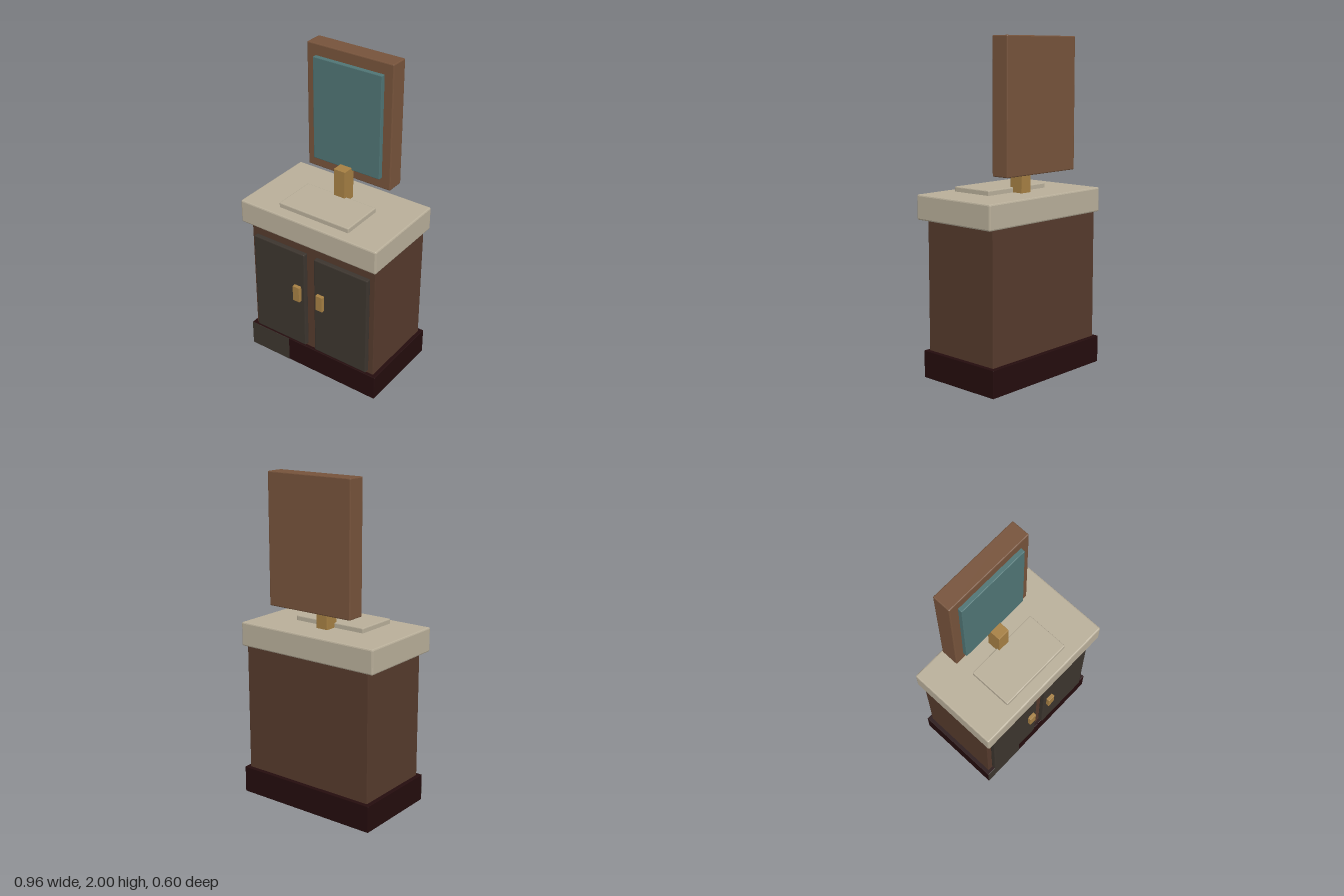
import * as THREE from 'three';
import { RoundedBoxGeometry } from 'three/addons/geometries/RoundedBoxGeometry.js';

const paint = (name, color) => {
  const m = new THREE.MeshStandardMaterial({ color });
  m.name = name;
  return m;
};

// Box given by its extents on each axis, with small flat bevels along the edges
function block(name, material, [x0, x1], [y0, y1], [z0, z1], bevel = 0.006) {
  const size = [x1 - x0, y1 - y0, z1 - z0];
  let geometry;
  if (bevel > 0) {
    geometry = new RoundedBoxGeometry(...size, 1, bevel).toNonIndexed();
    geometry.computeVertexNormals();
  } else {
    geometry = new THREE.BoxGeometry(...size);
  }
  const mesh = new THREE.Mesh(geometry, material);
  mesh.name = name;
  mesh.position.set((x0 + x1) / 2, (y0 + y1) / 2, (z0 + z1) / 2);
  return mesh;
}

export function createModel() {
  const stone = paint('stone', 0xb8ae99);
  const wood = paint('cabinet wood', 0x553a2c);
  const frameWood = paint('frame wood', 0x76533b);
  const doorGrey = paint('door charcoal', 0x3c352e);
  const plinthDark = paint('plinth dark red', 0x240c0d);
  const brass = paint('brass', 0xa57f43);
  const glass = paint('mirror glass', 0x4f7474);

  const model = new THREE.Group();
  model.name = 'vanity';

  // Cabinet and base
  model.add(
    block('plinth', plinthDark, [-0.47, 0.47], [0, 0.165], [-0.3, 0.264], 0.003),
    block('plinthPanel', doorGrey, [-0.469, -0.175], [0.001, 0.164], [0.26, 0.2655], 0),
    block('cabinet', wood, [-0.445, 0.445], [0.16, 0.95], [-0.276, 0.242], 0.003),
  );

  // Pair of doors with handles
  for (const side of [-1, 1]) {
    const span = (a, b) => (side > 0 ? [a, b] : [-b, -a]);
    const door = new THREE.Group();
    door.name = side > 0 ? 'leftDoor' : 'rightDoor';
    door.add(
      block('doorPanel', doorGrey, span(0.035, 0.412), [0.185, 0.857], [0.24, 0.274]),
      block('handle', brass, span(0.06, 0.11), [0.516, 0.622], [0.27, 0.296], 0.003),
    );
    model.add(door);
  }

  // Worktop, basin and tap
  model.add(
    block('counter', stone, [-0.481, 0.481], [0.945, 1.094], [-0.288, 0.299], 0.009),
    block('basin', stone, [-0.246, 0.246], [1.08, 1.124], [-0.053, 0.226]),
    block('tap', brass, [-0.04, 0.04], [1.085, 1.3], [-0.122, -0.032], 0.003),
  );

  // Mirror
  const mirror = new THREE.Group();
  mirror.name = 'mirror';
  mirror.add(
    block('mirrorFrame', frameWood, [-0.292, 0.292], [1.216, 2], [-0.242, -0.127]),
    block('mirrorGlass', glass, [-0.234, 0.234], [1.284, 1.93], [-0.14, -0.1], 0.004),
  );
  model.add(mirror);
  return model;
}
